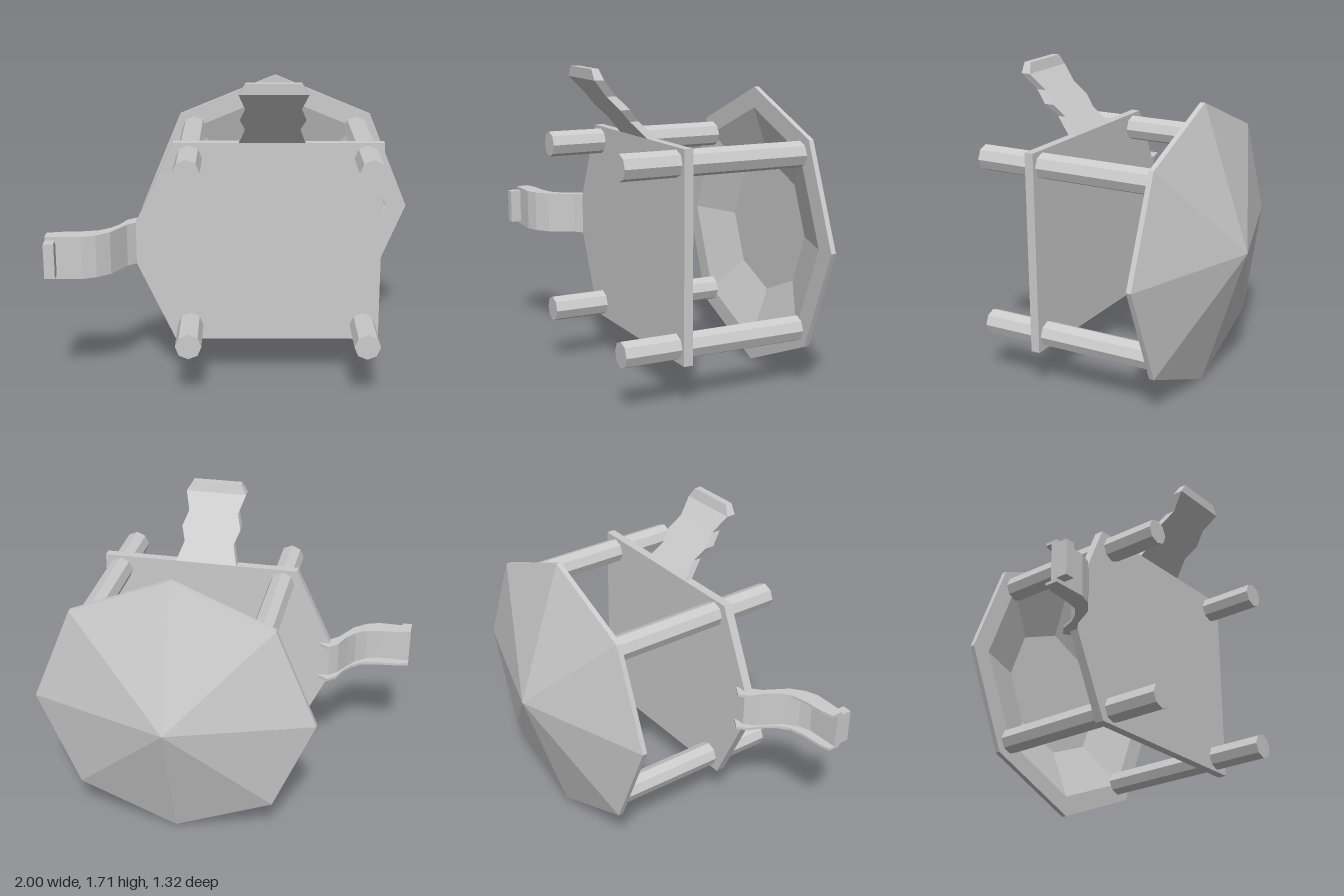
import * as THREE from 'three';

const CX = 0.21, CY = 0.79; // shared axis of deck and roof, which runs along z

export function createModel() {
  const model = new THREE.Group();
  model.name = 'playTower';
  const material = new THREE.MeshStandardMaterial({ color: 0xcccccc, flatShading: true });

  const add = (name, geometry, x = 0, y = 0, z = 0) => {
    const mesh = new THREE.Mesh(geometry, material);
    mesh.name = name;
    mesh.position.set(x, y, z);
    model.add(mesh);
    return mesh;
  };
  const extrude = (points, depth) => new THREE.ExtrudeGeometry(
    new THREE.Shape(points.map(([a, b]) => new THREE.Vector2(a, b))),
    { depth, bevelEnabled: false });
  // Extrudes an (x, z) outline from y0 up to y1
  const extrudeY = (points, y0, y1) =>
    extrude(points, y1 - y0).rotateX(Math.PI / 2).translate(0, y1, 0);

  // Deck with a pointed side leading to the slide
  add('deck', extrude([
    [-0.345, 0.235], [0.77, 0.235], [0.77, 1.345],
    [-0.345, 1.345], [-0.55, 0.905], [-0.55, 0.675],
  ], 0.05), 0, 0, 0.3);

  // Four octagonal posts
  for (const sx of [-1, 1]) for (const sy of [-1, 1]) {
    add('post', new THREE.CylinderGeometry(0.07, 0.07, 1.035, 8).rotateX(Math.PI / 2),
      CX + sx * 0.472, CY + sy * 0.472, 0.1425);
  }

  // Eight-sided roof, hollowed underneath
  const roofProfile = [[0, 0.475], [0.38, 0.475], [0.67, 0.372], [0.785, 0.372], [0.785, 0.4], [0, 0.66]]
    .map(([r, h]) => new THREE.Vector2(r, h));
  add('roof', new THREE.LatheGeometry(roofProfile, 8).rotateX(-Math.PI / 2), CX, CY, 0);

  // Slide: bed, two side rails and an end foot
  const under = [[-1, 0.6], [-0.81, 0.6], [-0.74, 0.575], [-0.67, 0.52], [-0.635, 0.46], [-0.595, 0.39], [-0.55, 0.35]];
  const bedTop = [[-0.55, 0.3], [-0.6, 0.345], [-0.645, 0.425], [-0.685, 0.485], [-0.745, 0.535], [-0.81, 0.56], [-1, 0.565]];
  const railTop = [[-0.49, 0.3], [-0.49, 0.29], [-0.55, 0.252], [-0.6, 0.3], [-0.635, 0.385], [-0.675, 0.44],
    [-0.73, 0.485], [-0.81, 0.503], [-0.93, 0.513], [-1, 0.53]];
  add('slideBed', extrudeY([...under, ...bedTop], 0.69, 0.89));
  add('slideRail', extrudeY([...under, [-0.55, 0.3], ...railTop], 0.675, 0.69));
  add('slideRail', extrudeY([...under, [-0.55, 0.3], ...railTop], 0.89, 0.905));
  add('slideFoot', new THREE.BoxGeometry(0.055, 0.19, 0.06), -0.9725, CY, 0.63);

  // Climbing ramp with notched edges: [y, front z, back z, half width]
  const stations = [
    [1.345, 0.35, 0.3, 0.175], [1.435, 0.435, 0.385, 0.143], [1.5, 0.5, 0.445, 0.17],
    [1.57, 0.565, 0.51, 0.143], [1.657, 0.643, 0.59, 0.175], [1.713, 0.645, 0.605, 0.14],
  ];
  const positions = [], index = [];
  for (const [y, front, back, w] of stations) {
    const x = 0.178;
    positions.push(x - w, y, front, x + w, y, front, x + w, y, back, x - w, y, back);
  }
  for (let i = 0; i < stations.length - 1; i++) for (let k = 0; k < 4; k++) {
    const a = i * 4 + k, b = i * 4 + (k + 1) % 4;
    index.push(a, b, b + 4, a, b + 4, a + 4);
  }
  const top = (stations.length - 1) * 4;
  index.push(0, 2, 1, 0, 3, 2, top, top + 1, top + 2, top, top + 2, top + 3);
  const ramp = new THREE.BufferGeometry();
  ramp.setAttribute('position', new THREE.Float32BufferAttribute(positions, 3));
  ramp.setIndex(index);
  ramp.computeVertexNormals();
  add('climbingRamp', ramp);

  return model;
}
